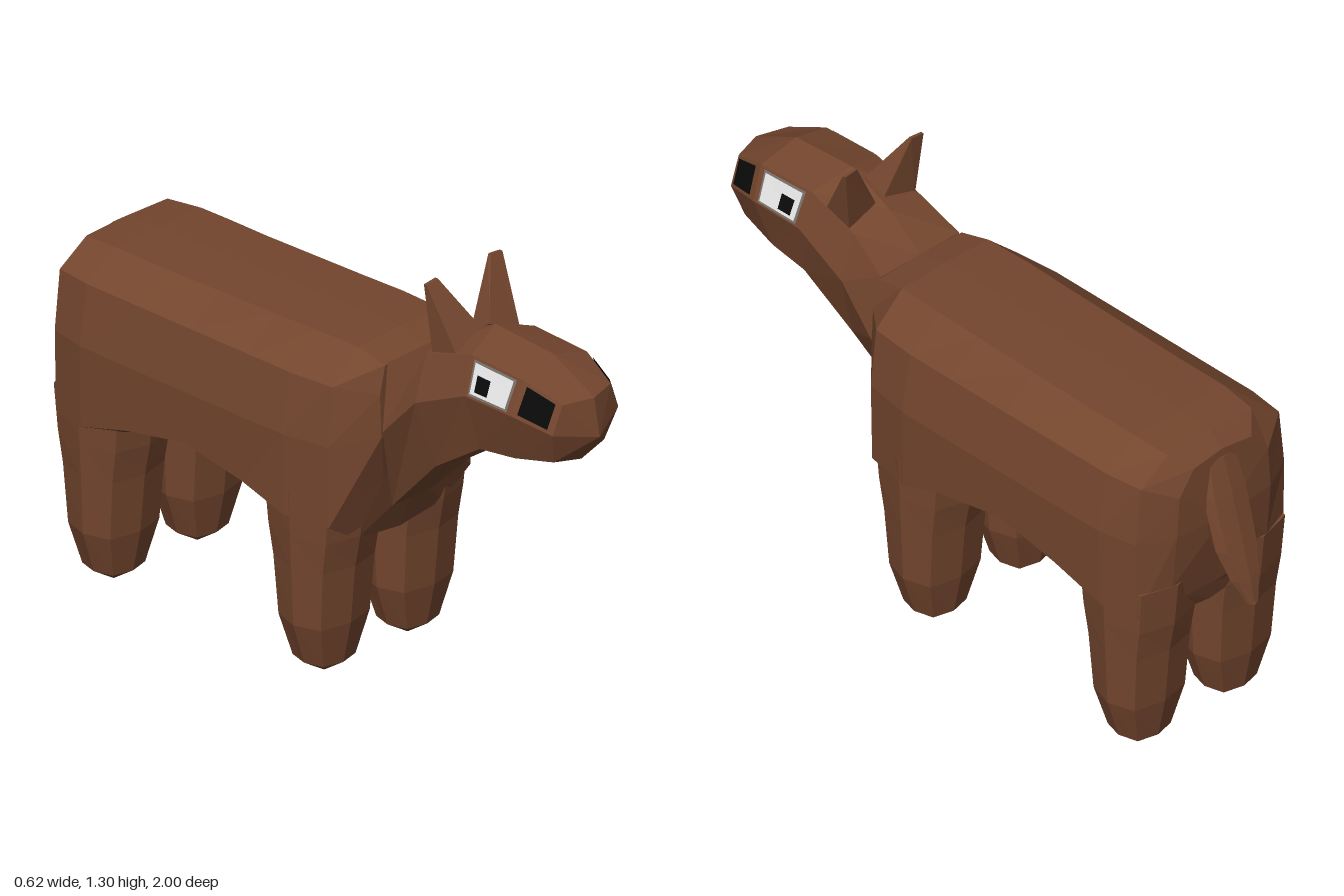
import * as THREE from 'three';

const mat = (name, color, opts = {}) => {
  const m = new THREE.MeshStandardMaterial({ color, flatShading: true, ...opts });
  m.name = name;
  return m;
};

// Skin a list of equal-length rings of [x, y, z]; both ends are closed with a fan.
function loft(rings, startTip, endTip) {
  const n = rings[0].length, pos = [];
  const tri = (...p) => p.forEach((q) => pos.push(...q));
  const mid = (r) => [0, 1, 2].map((k) => r.reduce((s, p) => s + p[k], 0) / n);
  const first = rings[0], last = rings[rings.length - 1];
  const a0 = startTip || mid(first), a1 = endTip || mid(last);
  for (let i = 0; i < n; i++) {
    const j = (i + 1) % n;
    tri(a0, first[j], first[i]);
    for (let s = 0; s < rings.length - 1; s++) {
      const r = rings[s], q = rings[s + 1];
      tri(r[i], r[j], q[i]);
      tri(r[j], q[j], q[i]);
    }
    tri(a1, last[i], last[j]);
  }
  const g = new THREE.BufferGeometry();
  g.setAttribute('position', new THREE.Float32BufferAttribute(pos, 3));
  g.computeVertexNormals();
  return g;
}

// Complete a half outline (top centre, +x side, bottom centre) by mirroring it.
const mirrorRing = (h) => [...h, ...h.slice(1, -1).reverse().map(([x, y, z]) => [-x, y, z])];

// Octagonal horizontal ring.
const octagon = (cx, y, cz, rx, rz) => Array.from({ length: 8 }, (_, i) => {
  const a = (i * Math.PI) / 4, k = i % 2 ? 1.12 : 1;
  return [cx + rx * k * Math.cos(a), y, cz - rz * k * Math.sin(a)];
});

// Four-cornered plate laid on a face; u and v run across the face corners.
function plate(c, u0, u1, v0, v1, lift, side) {
  const P = c.map((p) => new THREE.Vector3(...p));
  const at = (u, v) => P[0].clone().lerp(P[1], u).lerp(P[3].clone().lerp(P[2], u), v);
  const nrm = P[2].clone().sub(P[0]).cross(P[3].clone().sub(P[1])).normalize();
  if (nrm.x < 0) nrm.negate();
  const q = [at(u0, v0), at(u1, v0), at(u1, v1), at(u0, v1)].map((p) => p.addScaledVector(nrm, lift));
  const g = new THREE.BufferGeometry().setFromPoints(q);
  g.setIndex([0, 1, 2, 0, 2, 3]);
  g.scale(side, 1, 1);
  g.computeVertexNormals();
  return g;
}

export function createModel() {
  const group = new THREE.Group();
  const brown = mat('brown hide', 0x74462e);
  const white = mat('eye white', 0xf4f4f4, { side: THREE.DoubleSide });
  const grey = mat('eye rim grey', 0x77716c, { side: THREE.DoubleSide });
  const black = mat('black', 0x0a0a0a, { side: THREE.DoubleSide });
  const add = (name, geo, m = brown) => {
    const mesh = new THREE.Mesh(geo, m);
    mesh.name = name;
    group.add(mesh);
  };

  // Torso, chest to rump: top, back edge, shoulder, flank, lower flank, underside, belly centre
  const slice = (z, top, u, sh, m, lo, un, belly) => mirrorRing([
    [0, top, z], [u, top - 0.005, z], [sh, 0.95, z], [m, 0.77, z],
    [m - 0.005, lo, z], [0.17, un, z], [0, belly, z]]);
  add('torso', loft([
    mirrorRing([[0, 1.02, 0.33], [0.16, 1.015, 0.33], [0.18, 0.93, 0.33], [0.18, 0.8, 0.335],
      [0.13, 0.64, 0.295], [0.07, 0.53, 0.27], [0, 0.53, 0.27]]),
    slice(0.23, 1.045, 0.165, 0.265, 0.285, 0.52, 0.45, 0.43),
    slice(0.08, 1.045, 0.17, 0.28, 0.31, 0.52, 0.45, 0.43),
    slice(-0.08, 1.04, 0.17, 0.28, 0.312, 0.57, 0.52, 0.5),
    slice(-0.3, 1.035, 0.17, 0.28, 0.312, 0.61, 0.56, 0.535),
    slice(-0.52, 1.03, 0.17, 0.28, 0.312, 0.57, 0.52, 0.5),
    slice(-0.7, 1.03, 0.17, 0.28, 0.31, 0.52, 0.45, 0.43),
    slice(-0.82, 1.02, 0.16, 0.265, 0.285, 0.52, 0.47, 0.45),
    mirrorRing([[0, 0.985, -0.87], [0.11, 0.97, -0.87], [0.17, 0.9, -0.875], [0.18, 0.77, -0.875],
      [0.18, 0.6, -0.86], [0.12, 0.53, -0.845], [0, 0.52, -0.84]]),
  ], [0, 0.8, 0.32], [0, 0.77, -0.885]));

  // Head and neck, muzzle to shoulders
  const head = [
    [[0, 1.085, 0.98], [0.095, 1.085, 0.95], [0.13, 1.0, 0.945], [0.1, 0.9, 0.92], [0, 0.88, 0.93]],
    [[0, 1.165, 0.82], [0.125, 1.13, 0.83], [0.165, 1.03, 0.82], [0.12, 0.875, 0.79], [0, 0.867, 0.8]],
    [[0, 1.18, 0.6], [0.125, 1.14, 0.63], [0.165, 1.03, 0.64], [0.125, 0.86, 0.66], [0, 0.85, 0.67]],
    [[0, 1.11, 0.45], [0.13, 1.09, 0.46], [0.175, 0.95, 0.46], [0.115, 0.74, 0.48], [0, 0.72, 0.48]],
    [[0, 1.02, 0.33], [0.15, 1.02, 0.33], [0.18, 0.82, 0.34], [0.07, 0.53, 0.27], [0, 0.53, 0.27]],
  ];
  add('headAndNeck', loft(head.map(mirrorRing), [0, 0.97, 1.0], [0, 0.8, 0.25]));

  // Eyes and nostrils on both cheeks
  const cheek = (a, b) => [head[a][1], head[b][1], head[b][2], head[a][2]];
  for (const s of [1, -1]) {
    add('nostril', plate(cheek(0, 1), 0.14, 0.87, 0.08, 0.88, 0.006, s), black);
    add('eyeRim', plate(cheek(1, 2), 0.1, 0.92, 0.06, 0.94, 0.004, s), grey);
    add('eyeWhite', plate(cheek(1, 2), 0.14, 0.88, 0.12, 0.88, 0.006, s), white);
    add('pupil', plate(cheek(1, 2), 0.53, 0.79, 0.38, 0.8, 0.008, s), black);
  }

  // Ears: flat blade tip widening to a four-cornered base; the tips lean unevenly
  for (const [s, t] of [[1, 0.12], [-1, 0.09]]) {
    const rings = [
      [[t, 1.305, 0.455], [t + 0.045, 1.3, 0.455], [t + 0.045, 1.3, 0.465], [t, 1.305, 0.465]],
      [[0.015, 1.12, 0.49], [0.125, 1.08, 0.48], [0.125, 1.12, 0.57], [0.015, 1.16, 0.56]],
    ].map((r) => (s > 0 ? r : r.map(([x, y, z]) => [-x, y, z]).reverse()));
    add(s > 0 ? 'leftEar' : 'rightEar', loft(rings));
  }

  // Legs: pointed hoof end, widening up into the torso
  for (const s of [1, -1]) {
    for (const [name, z] of [['frontLeg', 0.1], ['hindLeg', -0.71]]) {
      const x = 0.165 * s;
      add(name, loft([
        octagon(x, 0.05, z, 0.08, 0.075),
        octagon(x, 0.18, z, 0.122, 0.103),
        octagon(x, 0.36, z, 0.13, 0.12),
        octagon(x, 0.46, z, 0.135, 0.14),
        octagon(x, 0.6, z, 0.14, 0.155),
      ], [x, 0, z]));
    }
  }

  // Tail, tip to root
  add('tail', loft([
    octagon(0, 0.525, -0.985, 0.02, 0.012),
    octagon(0, 0.6, -0.955, 0.05, 0.025),
    octagon(0, 0.69, -0.915, 0.07, 0.04),
    octagon(0, 0.85, -0.87, 0.075, 0.04),
    octagon(0, 0.96, -0.84, 0.06, 0.035),
  ], [0, 0.52, -1.0]));

  return group;
}
